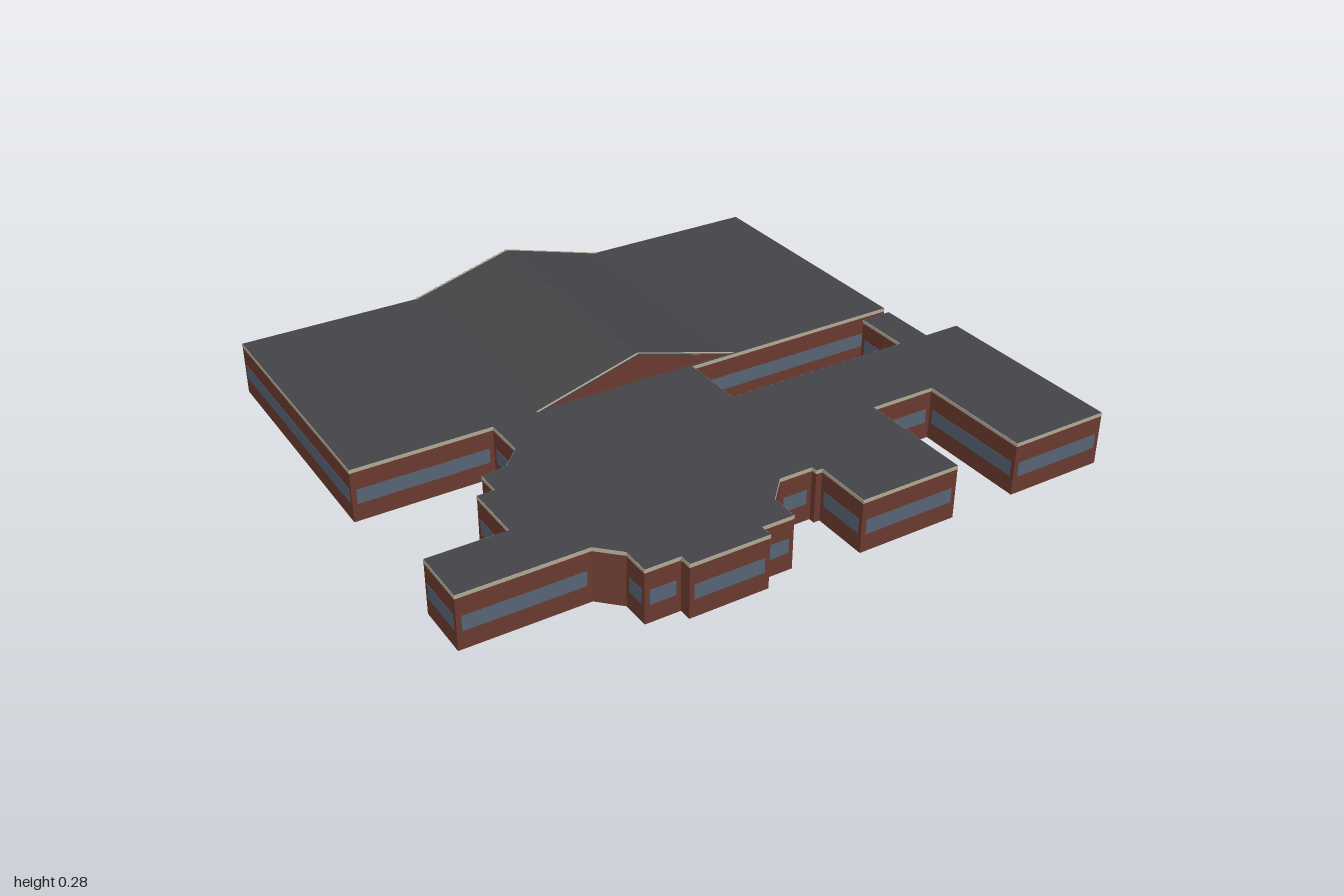
import * as THREE from 'three';

const mat = (name, color, side = THREE.FrontSide) => {
  const m = new THREE.MeshStandardMaterial({ color, side });
  m.name = name;
  return m;
};

export function createModel() {
  const brick = mat('brick', 0x6a3a30);
  const roofing = mat('dark roofing', 0x444347, THREE.DoubleSide);
  const glass = mat('window glass', 0x566473);
  const cream = mat('cream trim', 0xb0a994);
  const model = new THREE.Group();
  model.name = 'schoolBuilding';

  const BASE = 0.01, TRIM = 0.172, TOP = 0.183;

  const add = (parent, name, geo, material) => {
    const m = new THREE.Mesh(geo, material);
    m.name = name;
    parent.add(m);
    return m;
  };

  // Thin upright panel from a to b; its outer face stands 'out' beyond the line
  function panel(parent, name, a, b, y0, y1, material, out = 0, inset = 0) {
    const dx = b[0] - a[0], dz = b[1] - a[1], len = Math.hypot(dx, dz);
    const t = 0.004, k = (out - t / 2) / len;
    const m = add(parent, name, new THREE.BoxGeometry(len - 2 * inset, y1 - y0, t), material);
    m.position.set((a[0] + b[0]) / 2 - dz * k, (y0 + y1) / 2, (a[1] + b[1]) / 2 + dx * k);
    m.rotation.y = Math.atan2(-dz, dx);
  }

  // Open-bottomed flat-roofed block: walls, roof-edge trim and window bands
  function block(name, pts, skipWindows = [], openEdges = []) {
    const g = new THREE.Group();
    g.name = name;
    pts.forEach((a, i) => {
      if (openEdges.includes(i)) return;
      const b = pts[(i + 1) % pts.length];
      const dx = Math.abs(b[0] - a[0]), dz = Math.abs(b[1] - a[1]);
      panel(g, 'wall', a, b, BASE, TRIM, brick);
      panel(g, 'roofTrim', a, b, TRIM, TOP, cream, 0.001);
      const straight = Math.min(dx, dz) < 0.001, long = Math.max(dx, dz) > 0.06;
      if (straight && long && !skipWindows.includes(i))
        panel(g, 'windowBand', a, b, 0.067, 0.114, glass, 0.001, 0.015);
    });
    const shape = new THREE.Shape(pts.map(([x, z]) => new THREE.Vector2(x, -z)));
    const roof = add(g, 'flatRoof', new THREE.ShapeGeometry(shape), roofing);
    roof.rotation.x = -Math.PI / 2;
    roof.position.y = TOP + 0.0005;
    model.add(g);
  }

  // Rear block
  block('rearBlock', [
    [-1, -0.87], [-1, 0], [-0.555, 0], [0.13, 0], [0.88, 0], [0.88, -0.87],
  ], [2]);

  // Front wing with courts, angled corners and a link at the back
  block('frontWing', [
    [-0.555, 0], [-0.555, 0.14], [-0.62, 0.21], [-0.7, 0.22], [-0.7, 0.3],
    [-0.755, 0.3], [-0.755, 0.49], [-1, 0.49], [-1, 0.67], [-0.61, 0.67],
    [-0.545, 0.735], [-0.545, 0.825], [-0.435, 0.825], [-0.435, 0.865],
    [-0.185, 0.865], [-0.185, 0.825], [-0.08, 0.825], [-0.08, 0.735],
    [-0.01, 0.66], [0.1, 0.66], [0.1, 0.68], [0.12, 0.68], [0.12, 0.865],
    [0.45, 0.865], [0.45, 0.49], [0.67, 0.49], [0.67, 0.865], [1, 0.865],
    [1, 0.22], [0.875, 0.22], [0.875, 0.03], [0.77, 0.03], [0.77, 0.22],
    [0.13, 0.22], [0.13, 0],
  ], [], [34]);

  // Gabled hall rising through the rear block
  const hall = new THREE.Group();
  hall.name = 'gabledHall';
  model.add(hall);
  const MID = -0.06, HALF = 0.52, EAVE = 0.132, RIDGE = 0.278;
  const Z0 = -0.875, Z1 = -0.002;

  const gable = new THREE.Shape([
    [MID - HALF + 0.01, 0], [MID + HALF - 0.01, 0], [MID + HALF - 0.01, EAVE],
    [MID, RIDGE - 0.004], [MID - HALF + 0.01, EAVE],
  ].map(([x, y]) => new THREE.Vector2(x, y)));
  for (const z of [Z0 + 0.008, Z1 - 0.012]) {
    add(hall, 'gableWall', new THREE.ExtrudeGeometry(gable, { depth: 0.004, bevelEnabled: false }), brick)
      .position.z = z;
  }

  const slope = Math.atan2(RIDGE - EAVE, HALF), run = Math.hypot(HALF, RIDGE - EAVE);
  for (const s of [-1, 1]) {
    // Side wall with small openings
    const x = MID + s * (HALF - 0.01);
    add(hall, 'hallSideWall', new THREE.BoxGeometry(0.004, EAVE, Z1 - Z0 - 0.02), brick)
      .position.set(x, EAVE / 2, (Z0 + Z1) / 2);
    for (let i = 0; i < 5; i++) {
      add(hall, 'smallWindow', new THREE.BoxGeometry(0.007, 0.03, 0.02), glass)
        .position.set(x, 0.06, -0.72 + i * 0.14);
    }
    // Sloped roof with cream verge at both ends
    const place = (m, z, lift) => {
      m.position.set(MID + s * HALF / 2, (EAVE + RIDGE) / 2 + lift, z);
      m.rotation.z = -s * slope;
    };
    place(add(hall, 'slopedRoof', new THREE.BoxGeometry(run, 0.003, Z1 - Z0), roofing), (Z0 + Z1) / 2, 0);
    for (const z of [Z0 + 0.006, Z1 - 0.006])
      place(add(hall, 'vergeTrim', new THREE.BoxGeometry(run, 0.006, 0.006), cream), z, 0);
  }
  return model;
}
